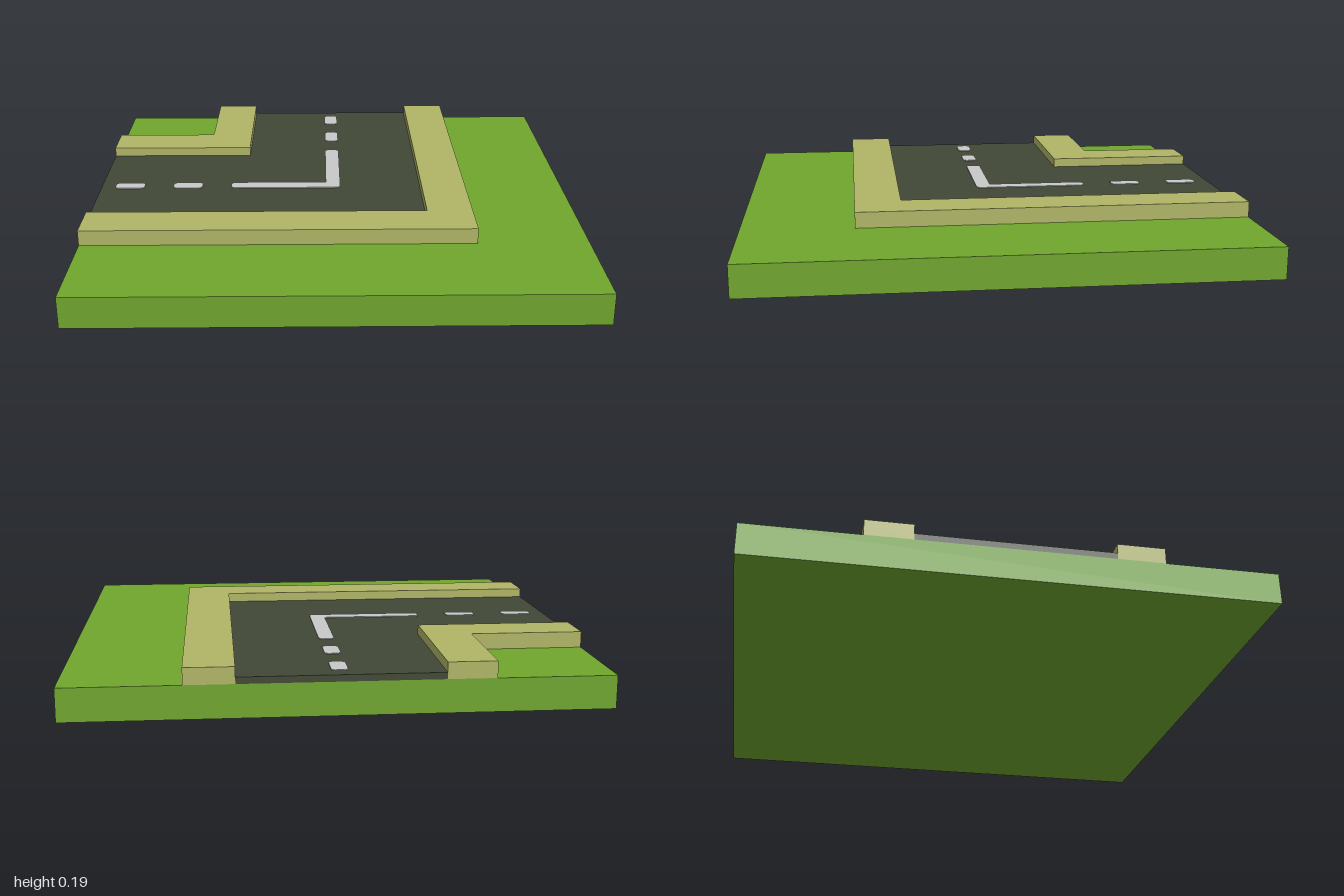
import * as THREE from 'three';

const mat = (name, color) => {
  const m = new THREE.MeshStandardMaterial({ color });
  m.name = name;
  return m;
};

export function createModel() {
  const grass = mat('grass green', 0x70a62e);
  const kerb = mat('kerb sand', 0xb0b566);
  const asphalt = mat('asphalt grey', 0x414835);
  const paint = mat('line paint', 0xc8c8c8);
  const model = new THREE.Group();
  model.name = 'roadCornerTile';

  const BASE = 0.125, ROAD = 0.15, KERB = 0.188;

  // Extrudes a ground outline of [x, z] points from y0 up to y1
  function slab(name, points, y0, y1, material) {
    const shape = new THREE.Shape(points.map(([x, z]) => new THREE.Vector2(x, -z)));
    const geo = new THREE.ExtrudeGeometry(shape, { depth: y1 - y0, bevelEnabled: false });
    geo.rotateX(-Math.PI / 2).translate(0, y0, 0);
    const mesh = new THREE.Mesh(geo, material);
    mesh.name = name;
    model.add(mesh);
  }

  // L outline between two bends, running to the left and back edges
  const bend = (inner, outer) => [
    [-1, inner], [-1, outer], [outer, outer], [outer, -1], [inner, -1], [inner, inner],
  ];

  // Ground, road and the two raised kerbs
  slab('ground', [[-1, -1], [-1, 1], [1, 1], [1, -1]], 0, BASE, grass);
  slab('road', bend(-0.378, 0.375), BASE, ROAD, asphalt);
  slab('outerKerb', bend(0.375, 0.56), BASE, KERB, kerb);
  slab('innerKerb', bend(-0.56, -0.378), BASE, KERB, kerb);

  // Centre line: corner piece with clipped ends
  const w = 0.031, c = 0.012, e = -0.44, top = ROAD + 0.003;
  slab('cornerLine', [
    [e, -w + c], [e, w - c], [e + c, w], [w - c, w], [w, w - c], [w, e + c],
    [w - c, e], [-w + c, e], [-w, e + c], [-w, -w], [e + c, -w],
  ], ROAD, top, paint);

  // Dashes on both arms, mirrored across the diagonal
  for (const a of [-0.94, -0.69]) {
    const b = a + 0.126;
    const dash = [
      [a, -w + c], [a, w - c], [a + c, w], [b - c, w],
      [b, w - c], [b, -w + c], [b - c, -w], [a + c, -w],
    ];
    slab('leftDash', dash, ROAD, top, paint);
    slab('backDash', dash.map(([x, z]) => [z, x]), ROAD, top, paint);
  }
  return model;
}
